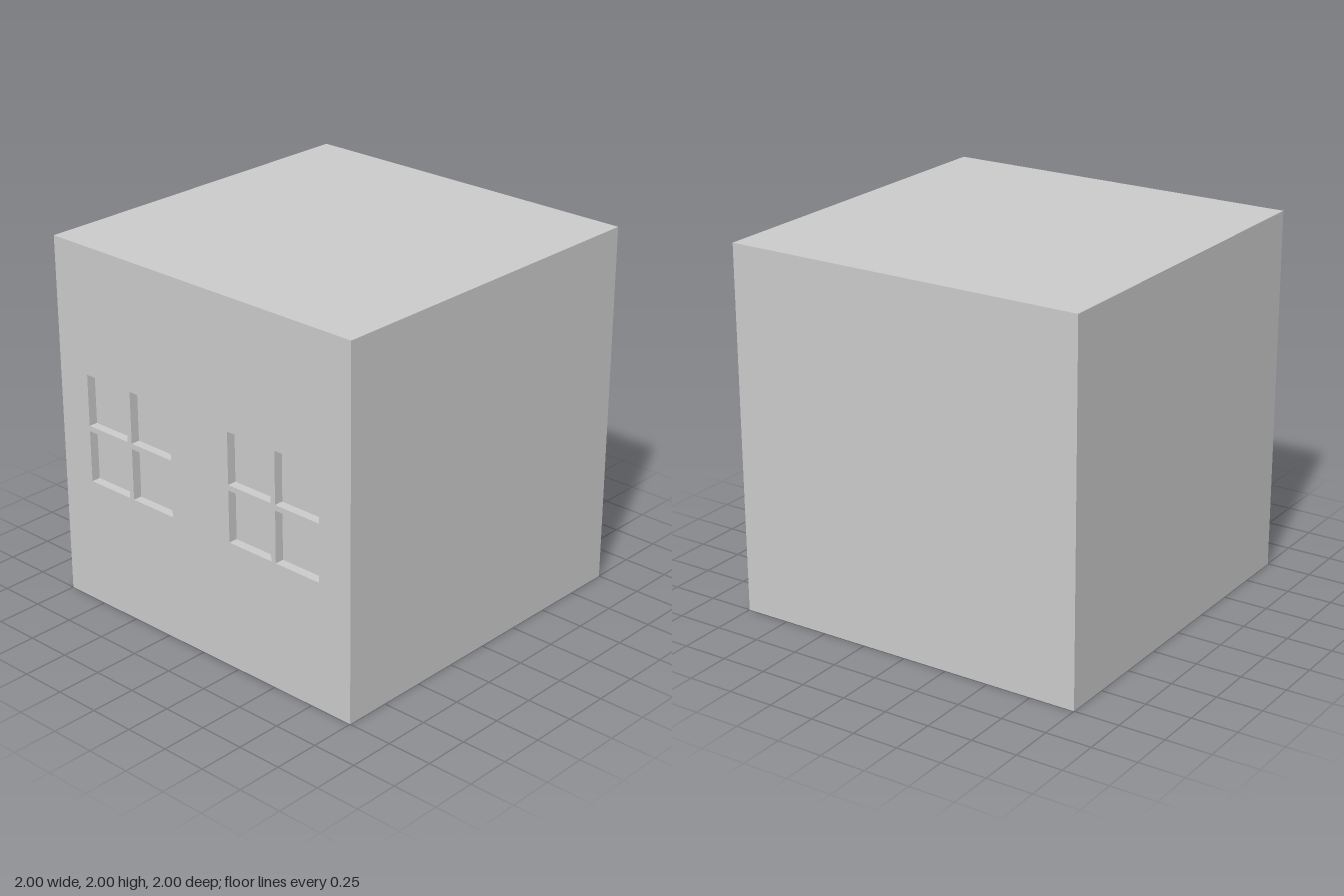
import * as THREE from 'three';

const SIZE = 2, PANE = 0.285, DEPTH = 0.05;

// Box without its +z side; inward turns its faces to the inside
function openBox(w, h, d, inward) {
  const geo = new THREE.BoxGeometry(w, h, d);
  const index = Array.from(geo.index.array);
  index.splice(24, 6);
  if (inward) index.reverse();
  geo.setIndex(index);
  geo.computeVertexNormals();
  return geo;
}

export function createModel() {
  const model = new THREE.Group();
  const material = new THREE.MeshStandardMaterial({ color: 0xcccccc });
  const add = (parent, name, geo, x, y, z) => {
    const mesh = new THREE.Mesh(geo, material);
    mesh.name = name;
    mesh.position.set(x, y, z);
    parent.add(mesh);
  };

  // Side walls, back wall, roof and floor
  add(model, 'walls', openBox(SIZE, SIZE, SIZE, false), 0, 1, 0);

  // Front wall outline, pierced by the window panes below
  const front = new THREE.Shape([[-1, 0], [1, 0], [1, 2], [-1, 2]].map(p => new THREE.Vector2(...p)));

  // Two windows of four recessed panes, split by narrow bars
  const recess = openBox(PANE, PANE, DEPTH, true);
  const r = PANE / 2, step = 0.3 - r;
  for (const side of [-1, 1]) {
    const win = new THREE.Group();
    win.name = side < 0 ? 'rightWindow' : 'leftWindow';
    win.position.set(side * 0.5, 1, 1 - DEPTH / 2);
    for (const sx of [-1, 1]) for (const sy of [-1, 1]) {
      const x = sx * step, y = sy * step;
      add(win, 'paneRecess', recess, x, y, 0);
      const cx = side * 0.5 + x, cy = 1 + y;
      front.holes.push(new THREE.Path([[-r, -r], [-r, r], [r, r], [r, -r]]
        .map(([dx, dy]) => new THREE.Vector2(cx + dx, cy + dy))));
    }
    model.add(win);
  }
  add(model, 'frontWall', new THREE.ShapeGeometry(front), 0, 0, 1);
  return model;
}
